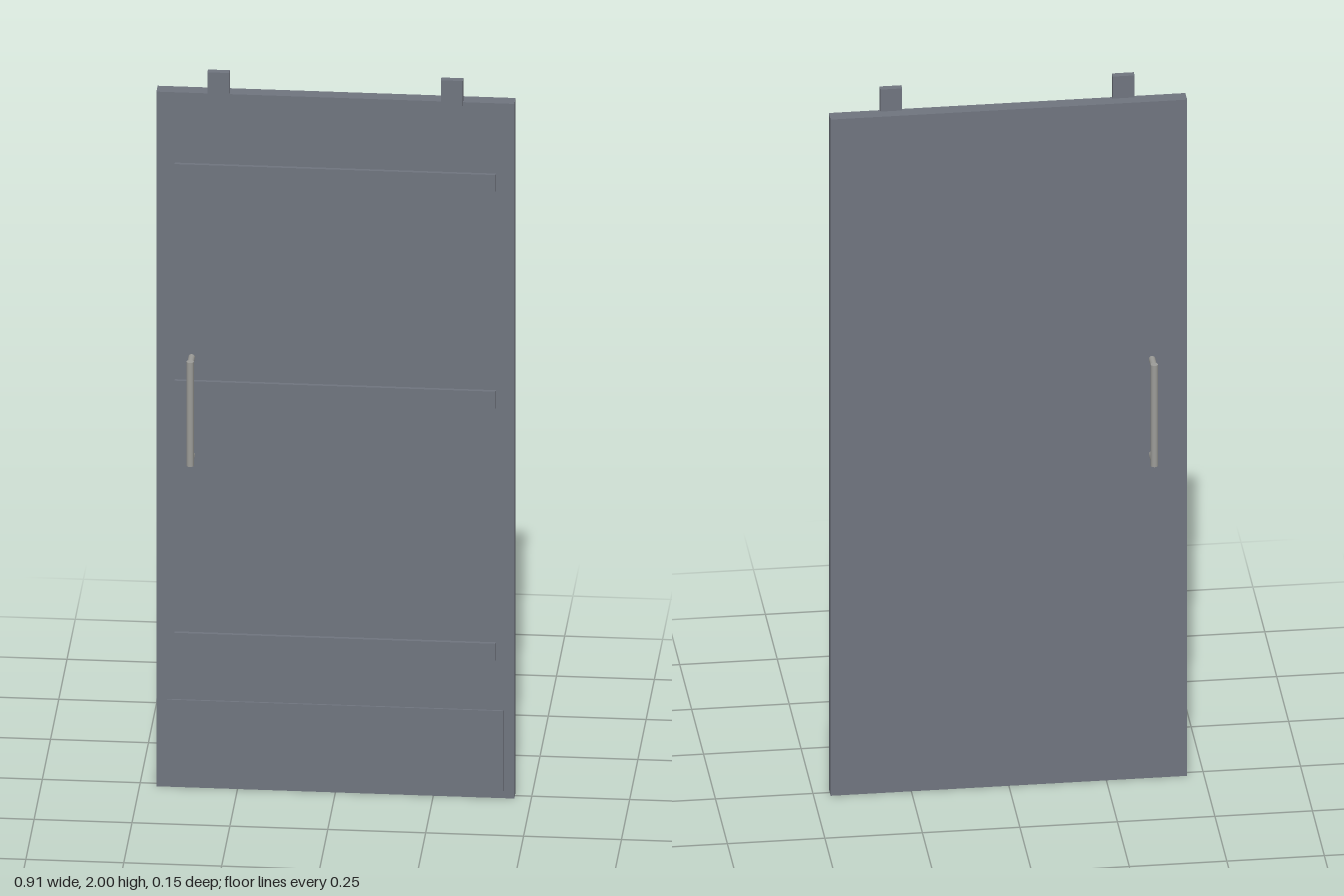
import * as THREE from 'three';

export function createModel() {
  const root = new THREE.Group();
  root.name = 'slidingDoor';

  const slate = new THREE.MeshStandardMaterial({ color: 0x70757f });
  slate.name = 'slate grey';
  const steel = new THREE.MeshStandardMaterial({ color: 0x9c9c98 });
  steel.name = 'brushed steel';

  // Box given by its limits on each axis
  function box(name, x0, x1, y0, y1, z0, z1) {
    const mesh = new THREE.Mesh(new THREE.BoxGeometry(x1 - x0, y1 - y0, z1 - z0), slate);
    mesh.position.set((x0 + x1) / 2, (y0 + y1) / 2, (z0 + z1) / 2);
    mesh.name = name;
    root.add(mesh);
  }

  const half = 0.0185; // half the door thickness
  box('doorPanel', -0.457, 0.457, 0, 1.937, -half, half);

  // Horizontal battens on the front
  for (const y of [0.41, 1.113, 1.717]) {
    box('batten', -0.41, 0.41, y - 0.024, y + 0.024, half, 0.028);
  }

  // Kick plate at the foot
  box('kickPlate', -0.43, 0.43, 0.02, 0.245, half, 0.0235);

  // Hanger straps at the top edge
  for (const side of [-1, 1]) {
    box('hanger', side * 0.298 - 0.028, side * 0.298 + 0.028, 1.93, 2, 0.01, 0.028);
  }

  // Pull handles, one on each face
  for (const side of [1, -1]) {
    const handle = new THREE.Group();
    handle.name = side > 0 ? 'frontHandle' : 'backHandle';
    handle.position.x = -0.367;

    const grip = new THREE.Mesh(new THREE.CylinderGeometry(0.0095, 0.0095, 0.29, 16), steel);
    grip.name = 'grip';
    grip.position.set(0, 1.064, side * 0.0665);
    handle.add(grip);

    for (const y of [0.928, 1.2]) {
      const post = new THREE.Mesh(new THREE.CylinderGeometry(0.0085, 0.0085, 0.0665 - half, 16), steel);
      post.name = 'post';
      post.rotation.x = Math.PI / 2;
      post.position.set(0, y, side * (0.0665 + half) / 2);
      handle.add(post);
    }
    root.add(handle);
  }

  return root;
}
